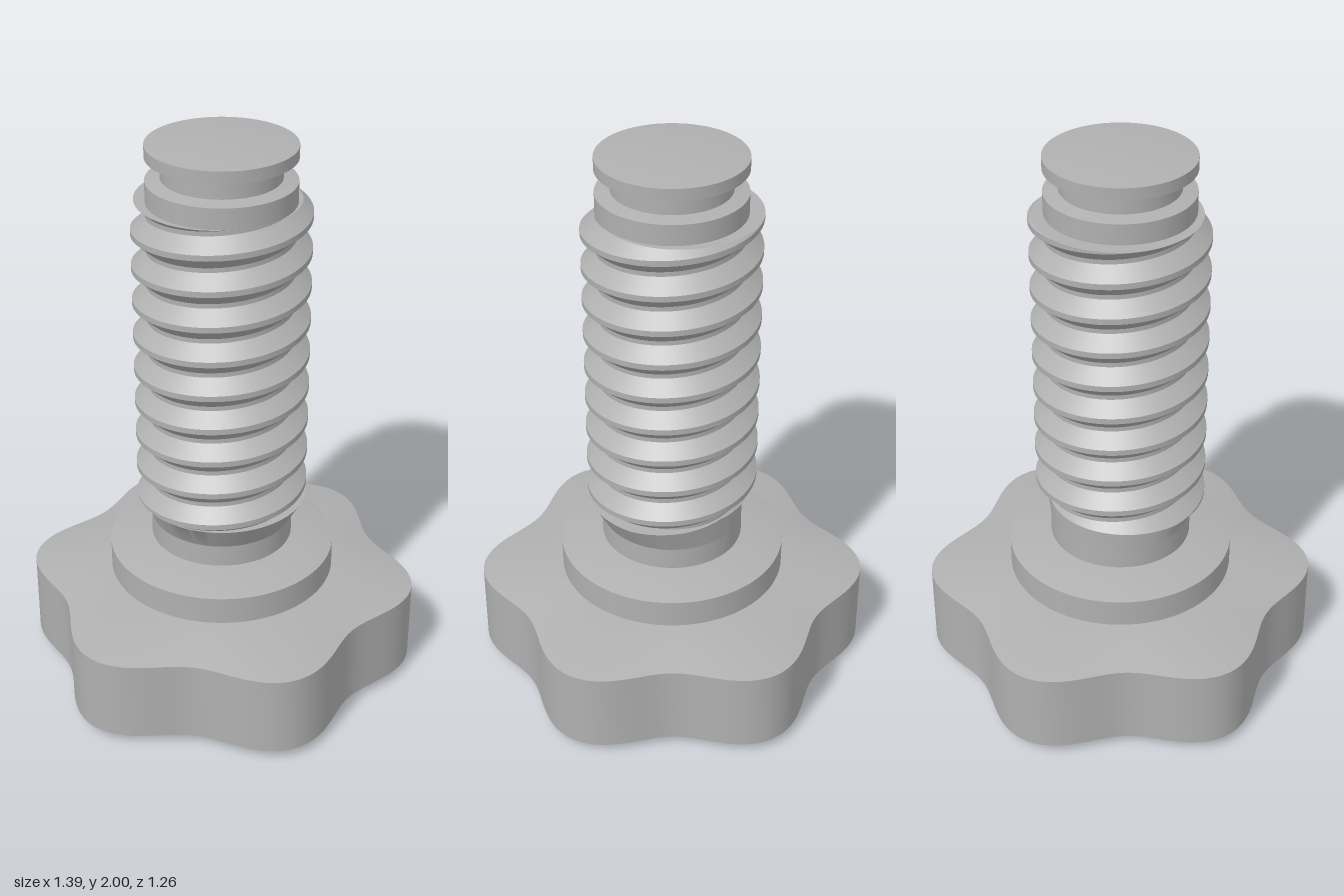
import * as THREE from 'three';
import { toCreasedNormals } from 'three/addons/utils/BufferGeometryUtils.js';

const TAU = Math.PI * 2;
const clamp = THREE.MathUtils.clamp;
const steel = new THREE.MeshStandardMaterial({ color: 0xb0b0b0 });
steel.name = 'plain grey';

// Thread dimensions
const ROOT = 0.251, CREST = 0.3, PITCH = 0.125;
const THREAD_LOW = 0.69, THREAD_HIGH = 1.785, CREST_Y = 1.74;
const CREST_HALF = 0.01, ROOT_HALF = 0.008;

// Lathe whose vertices can be moved by a rule (angle, row) -> [radius, y]
function turned(name, profile, segments, rule) {
  const geo = new THREE.LatheGeometry(profile.map(([r, y]) => new THREE.Vector2(r, y)), segments);
  if (rule) {
    const pos = geo.attributes.position;
    for (let i = 0; i <= segments; i++) {
      const a = (i / segments) * TAU;
      for (let j = 0; j < profile.length; j++) {
        const [r, y] = rule(a, j);
        pos.setXYZ(i * profile.length + j, r * Math.sin(a), y, r * Math.cos(a));
      }
    }
  }
  const mesh = new THREE.Mesh(toCreasedNormals(geo, 0.45), steel);
  mesh.name = name;
  return mesh;
}

// Six-lobed hand knob with shallow conical faces
function makeKnob() {
  const profile = [[0, 0.005], [0.65, 0.04], [0.65, 0.335], [0.4, 0.385], [0, 0.385]];
  return turned('knob', profile, 144, (a, j) => {
    const [r, y] = profile[j];
    const lobed = 0.643 + 0.053 * Math.cos(6 * (a - Math.PI / 2));
    return [j === 1 || j === 2 ? lobed : r, y];
  });
}

// Radius of the helical thread at an angle and height
function threadRadius(phi, y) {
  const turns = (y - CREST_Y) / PITCH - phi / TAU;
  const d = Math.abs(turns - Math.round(turns)) * PITCH;
  const t = clamp((d - CREST_HALF) / (PITCH / 2 - ROOT_HALF - CREST_HALF), 0, 1);
  return CREST + (ROOT - CREST) * t;
}

// Right-handed thread, cut flat at both ends, with a one-sided flare below
function makeThread() {
  const offsets = [];
  for (let k = -11; k <= 2; k++) {
    const c = CREST_Y + k * PITCH;
    offsets.push(c - PITCH / 2 + ROOT_HALF, c - CREST_HALF, c + CREST_HALF, c + PITCH / 2 - ROOT_HALF);
  }
  const rows = offsets.length + 4;
  const profile = Array.from({ length: rows }, (_, j) => [ROOT, j]);
  return turned('thread', profile, 120, (a, j) => {
    const phi = a - Math.PI / 2;
    if (j === 0) return [0.25, 0.6];
    if (j === 1) {
      const f = clamp(0.55 + 0.8 * Math.cos(phi + 0.96), 0, 1);
      return [ROOT + (CREST - ROOT) * f, THREAD_LOW];
    }
    if (j === rows - 1) return [0.245, THREAD_HIGH];
    let y = j === 2 ? THREAD_LOW : THREAD_HIGH;
    if (j > 2 && j < rows - 2) y = offsets[j - 3] + (PITCH * phi) / TAU;
    if (j === rows - 2) y = THREAD_HIGH;
    y = clamp(y, THREAD_LOW, THREAD_HIGH);
    return [threadRadius(phi, y), y];
  });
}

export function createModel() {
  const group = new THREE.Group();
  group.name = 'knobScrew';
  group.add(
    makeKnob(),
    // Round collar with a sloping shoulder
    turned('collar', [[0.4, 0.375], [0.4, 0.485], [0.25, 0.52], [0, 0.52]], 96),
    // Plain shank
    turned('shank', [[0.25, 0.515], [0.25, 1.857], [0.2, 1.866]], 96),
    // Neck groove and slightly domed end button
    turned('tip', [[0.2, 1.86], [0.2, 1.925], [0.25, 1.937], [0.25, 1.978], [0, 2]], 96),
    makeThread(),
  );
  return group;
}
